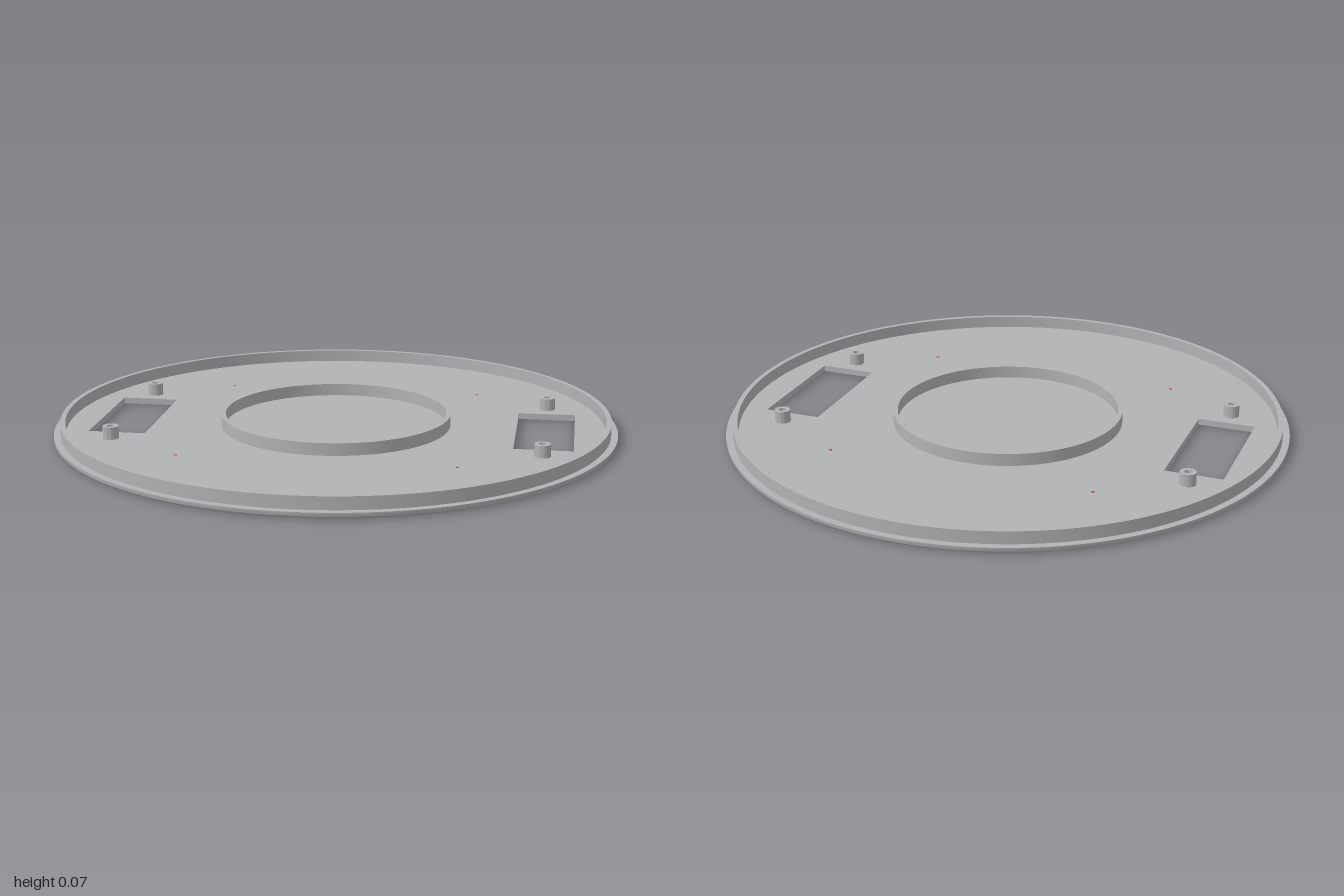
import * as THREE from 'three';
import { toCreasedNormals } from 'three/addons/utils/BufferGeometryUtils.js';

const FLOOR = 0.022; // floor thickness
const TOP = 0.066;   // height of all walls and posts

export function createModel() {
  const model = new THREE.Group();
  model.name = 'roundCoverPlate';
  const grey = new THREE.MeshStandardMaterial({ color: 0xb2b3b5 });
  grey.name = 'greyPlastic';
  const red = new THREE.MeshStandardMaterial({ color: 0xc04040 });
  red.name = 'redInsert';

  function add(name, geometry, material, x = 0, y = 0, z = 0) {
    const mesh = new THREE.Mesh(geometry, material);
    mesh.name = name;
    mesh.position.set(x, y, z);
    model.add(mesh);
  }

  // Profile runs up the outside and down the inside
  function turned(profile, segments) {
    const points = profile.map(([r, y]) => new THREE.Vector2(r, y));
    return toCreasedNormals(new THREE.LatheGeometry(points, segments), 0.5);
  }

  // Floor with two rectangular windows and four screw holes
  const disc = new THREE.Shape().absarc(0, 0, 0.966, 0, Math.PI * 2, false);
  for (const s of [-1, 1]) {
    const cx = s * 0.746, w = 0.102, h = 0.233;
    disc.holes.push(new THREE.Path([
      new THREE.Vector2(cx - w, -h), new THREE.Vector2(cx - w, h),
      new THREE.Vector2(cx + w, h), new THREE.Vector2(cx + w, -h),
    ]));
    for (const t of [-1, 1]) {
      disc.holes.push(new THREE.Path().absarc(s * 0.745, t * 0.306, 0.013, 0, Math.PI * 2, true));
    }
  }
  const floor = new THREE.ExtrudeGeometry(disc, { depth: FLOOR, bevelEnabled: false, curveSegments: 64 });
  floor.rotateX(-Math.PI / 2);
  add('floor', floor, grey);

  // Outer lip with rounded lower edge, and the raised rim inside it
  const lip = [[0.966, 0]];
  for (let i = 0; i <= 5; i++) {
    const a = (i / 5) * Math.PI / 2;
    lip.push([0.985 + 0.015 * Math.sin(a), 0.015 * (1 - Math.cos(a))]);
  }
  lip.push([1, FLOOR], [0.976, FLOOR], [0.976, TOP], [0.958, TOP], [0.958, FLOOR]);
  add('outerRim', turned(lip, 128), grey);

  // Central ring wall
  add('centreRing', turned([[0.41, FLOOR], [0.41, TOP], [0.394, TOP], [0.394, FLOOR]], 96), grey);

  // Hollow screw posts and red tapered inserts, mirrored to each quarter
  const post = turned([[0.028, FLOOR], [0.028, TOP], [0.013, TOP], [0.013, 0]], 32);
  const insert = new THREE.CylinderGeometry(0.006, 0.027, FLOOR + 0.001, 24);
  for (const sx of [-1, 1]) {
    for (const sz of [-1, 1]) {
      add('screwPost', post, grey, sx * 0.745, 0, sz * 0.306);
      add('insert', insert, red, sx * 0.473, FLOOR / 2, sz * 0.474);
    }
  }
  return model;
}
